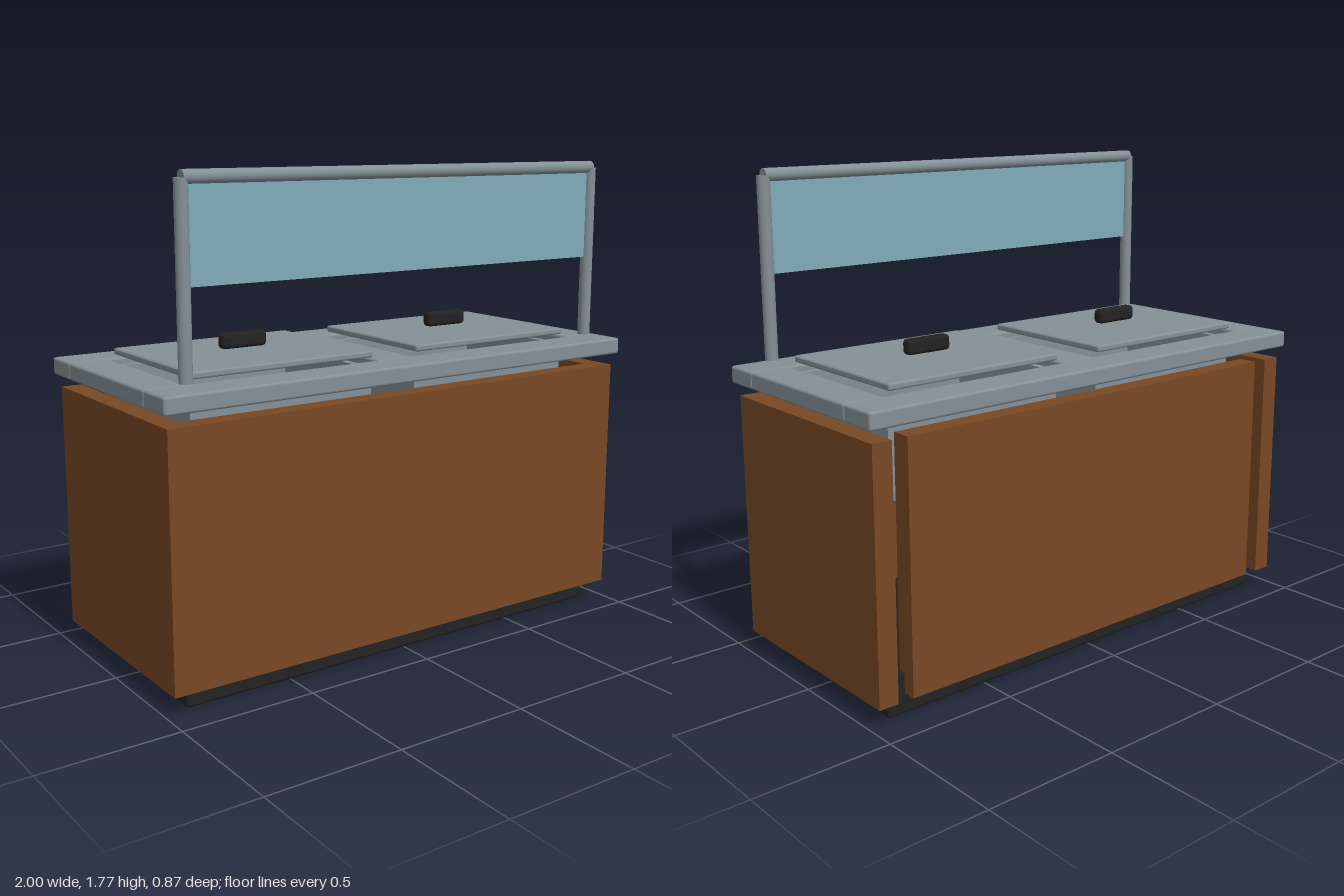
import * as THREE from 'three';
import { RoundedBoxGeometry } from 'three/addons/geometries/RoundedBoxGeometry.js';

const mat = (name, color, opts = {}) => {
  const m = new THREE.MeshStandardMaterial({ color, ...opts });
  m.name = name;
  return m;
};

export function createModel() {
  const steel = mat('brushed steel', 0x849097);
  const wood = mat('brown wood', 0x784823);
  const black = mat('black plastic', 0x222222);
  const glass = mat('blue glass', 0x82acb9);

  const model = new THREE.Group();
  model.name = 'servingCounter';

  const add = (name, geometry, material, parent = model) => {
    const mesh = new THREE.Mesh(geometry, material);
    mesh.name = name;
    parent.add(mesh);
    return mesh;
  };

  // Box given by its limits on each axis, optionally with rounded edges
  const box = (name, material, [x0, x1], [y0, y1], [z0, z1], radius = 0, parent = model) => {
    const size = [x1 - x0, y1 - y0, z1 - z0];
    const geometry = radius
      ? new RoundedBoxGeometry(...size, 2, radius)
      : new THREE.BoxGeometry(...size);
    const mesh = add(name, geometry, material, parent);
    mesh.position.set((x0 + x1) / 2, (y0 + y1) / 2, (z0 + z1) / 2);
    return mesh;
  };

  // Plinth and cabinet panels; the back panel leaves a slot at each end
  const panelY = [0.075, 0.975];
  box('plinth', black, [-0.91, 0.91], [0, 0.15], [-0.365, 0.365], 0.012);
  box('frontPanel', wood, [-0.905, 0.905], panelY, [0.34, 0.415]);
  box('backPanel', wood, [-0.845, 0.845], panelY, [-0.415, -0.34]);
  box('leftPanel', wood, [0.905, 0.98], panelY, [-0.415, 0.415]);
  box('rightPanel', wood, [-0.98, -0.905], panelY, [-0.415, 0.415]);

  // Countertop frame of five strips around two openings
  const topY = [1.02, 1.083];
  box('counterFront', steel, [-1, 1], topY, [0.29, 0.437], 0.01);
  box('counterBack', steel, [-1, 1], topY, [-0.437, -0.29], 0.01);
  box('counterLeft', steel, [0.855, 1], topY, [-0.295, 0.295], 0.01);
  box('counterRight', steel, [-1, -0.855], topY, [-0.295, 0.295], 0.01);
  box('counterMiddle', steel, [-0.075, 0.075], topY, [-0.295, 0.295], 0.01);

  // Two food wells, each with walls, floor, lid and handle
  for (const side of [-1, 1]) {
    const well = new THREE.Group();
    well.name = side > 0 ? 'leftWell' : 'rightWell';
    well.position.x = side * 0.4625;
    model.add(well);
    const wellY = [0.72, 1.06];
    for (const s of [-1, 1]) {
      const a = s * 0.365, b = s * 0.34;
      box('wellEnd', steel, [Math.min(a, b), Math.max(a, b)], wellY, [-0.28, 0.28], 0, well);
      const c = s * 0.28, d = s * 0.255;
      box('wellWall', steel, [-0.34, 0.34], wellY, [Math.min(c, d), Math.max(c, d)], 0, well);
    }
    box('wellFloor', steel, [-0.34, 0.34], [0.72, 0.745], [-0.255, 0.255], 0, well);
    box('lid', steel, [-0.365, 0.365], [1.095, 1.12], [-0.293, 0.293], 0.008, well);
    box('lidHandle', black, [-0.091, 0.091], [1.128, 1.185], [-0.024, 0.024], 0.016, well);
  }

  // Glass guard on two posts with a top rail
  const guard = new THREE.Group();
  guard.name = 'glassGuard';
  guard.position.z = 0.357;
  model.add(guard);
  for (const side of [-1, 1]) {
    const post = add('guardPost', new THREE.CylinderGeometry(0.0235, 0.0235, 0.645, 16), steel, guard);
    post.position.set(side * 0.88, 1.4225, 0);
  }
  const rail = add('guardRail', new THREE.CylinderGeometry(0.0235, 0.0235, 1.76, 16), steel, guard);
  rail.rotation.z = Math.PI / 2;
  rail.position.y = 1.747;
  box('guardGlass', glass, [-0.865, 0.865], [1.405, 1.735], [-0.007, 0.007], 0, guard);

  return model;
}
